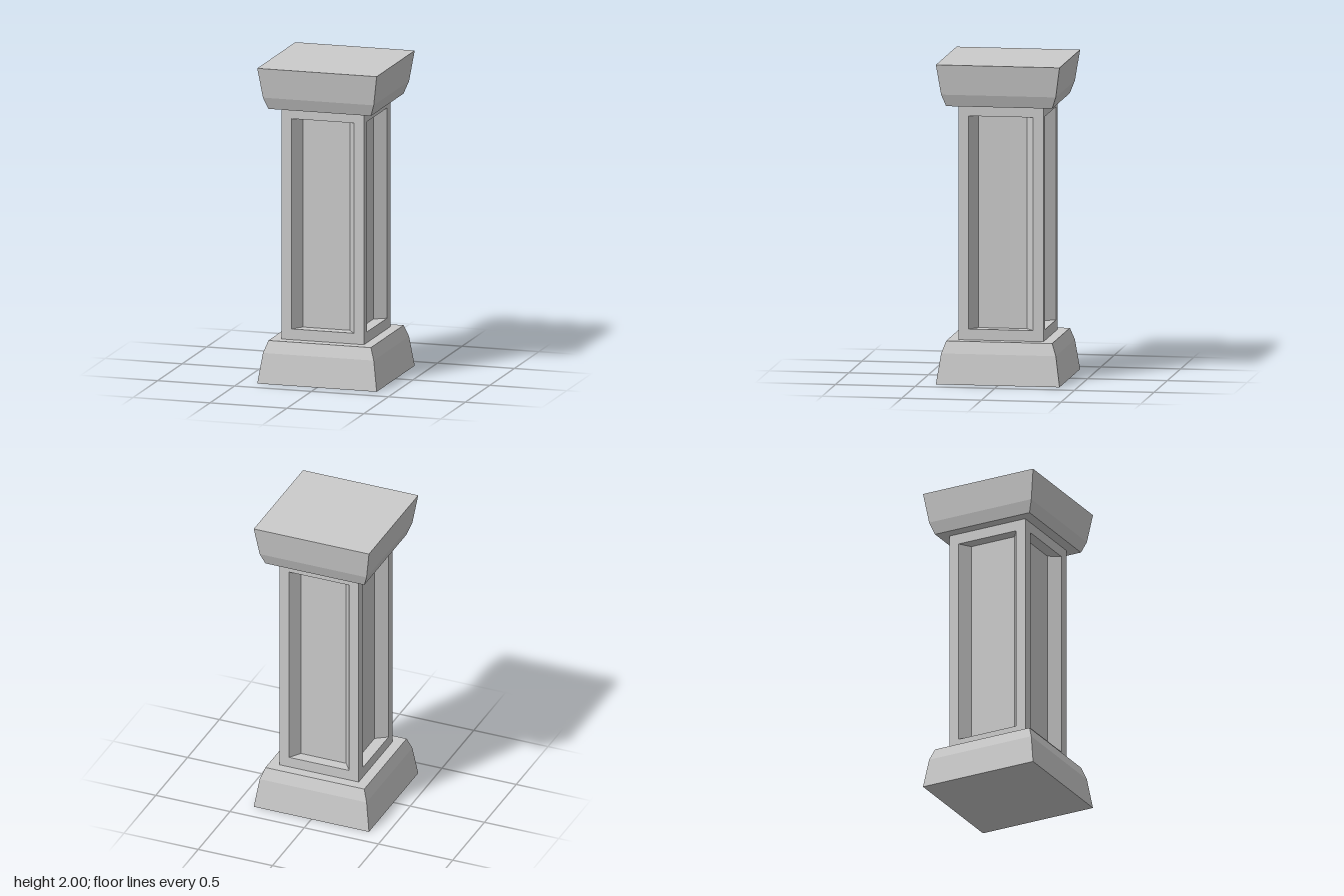
import * as THREE from 'three';

const material = new THREE.MeshStandardMaterial({ color: 0xcccccc, flatShading: true });

// Square block turned from a [halfWidth, y] profile, listed bottom to top
function squareBlock(name, profile) {
  const points = profile.map(([half, y]) => new THREE.Vector2(half * Math.SQRT2, y));
  const geometry = new THREE.LatheGeometry(points, 4, Math.PI / 4).toNonIndexed();
  geometry.computeVertexNormals();
  const mesh = new THREE.Mesh(geometry, material);
  mesh.name = name;
  return mesh;
}

// One shaft side: nested rectangles [halfWidth, bottom, top, z] joined by quads, innermost one filled
function recessedSide(rects) {
  const rings = rects.map(([w, b, t, z]) => [[-w, b, z], [w, b, z], [w, t, z], [-w, t, z]]);
  const positions = [];
  const quad = (a, b, c, d) => positions.push(...a, ...b, ...c, ...a, ...c, ...d);
  for (let r = 0; r < rings.length - 1; r++) {
    const outer = rings[r], inner = rings[r + 1];
    for (let i = 0; i < 4; i++) {
      const j = (i + 1) % 4;
      quad(outer[i], outer[j], inner[j], inner[i]);
    }
  }
  quad(...rings[rings.length - 1]);
  const geometry = new THREE.BufferGeometry();
  geometry.setAttribute('position', new THREE.Float32BufferAttribute(positions, 3));
  geometry.computeVertexNormals();
  return geometry;
}

export function createModel() {
  const pillar = new THREE.Group();
  pillar.name = 'pillar';

  // Plinth, and the capital as its mirror image
  const profile = [[0, 0], [0.388, 0], [0.36, 0.19], [0.333, 0.265], [0, 0.265]];
  const flipped = profile.map(([half, y]) => [half, 2 - y]).reverse();
  pillar.add(squareBlock('base', profile), squareBlock('capital', flipped));

  // Shaft with a recessed panel on each side; the jambs slope inwards
  const shaft = new THREE.Group();
  shaft.name = 'shaft';
  const side = recessedSide([
    [0.2675, 0.265, 1.735, 0.2675],
    [0.2025, 0.333, 1.667, 0.2675],
    [0.152, 0.333, 1.667, 0.1945],
  ]);
  ['front', 'left', 'back', 'right'].forEach((label, i) => {
    const mesh = new THREE.Mesh(side, material);
    mesh.name = `${label}Panel`;
    mesh.rotation.y = (i * Math.PI) / 2;
    shaft.add(mesh);
  });
  pillar.add(shaft);

  return pillar;
}
